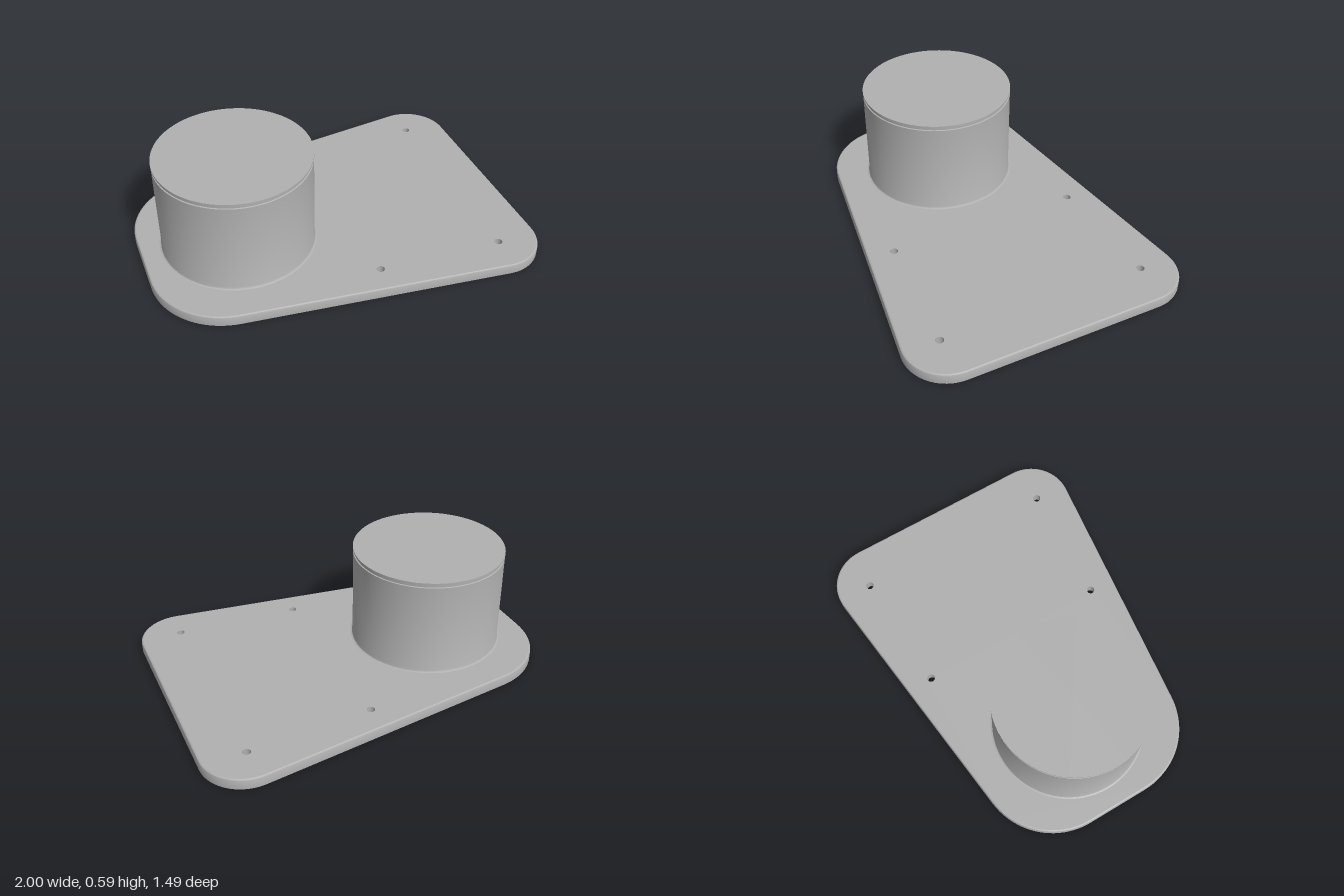
import * as THREE from 'three';
import { toCreasedNormals } from 'three/addons/utils/BufferGeometryUtils.js';

const THICK = 0.055, HOLE_R = 0.021;
const HOLES = [[0.11, 0.519], [0.11, -0.519], [0.775, 0.557], [0.775, -0.557]];

// Tapered outline with four rounded corners, shrunk by an inset
function outline(inset) {
  const t = 97.2;
  const corners = [
    [0.775, 0.52, 0.225, 0, t], [-0.6, 0.17, 0.4, t, 180],
    [-0.6, -0.17, 0.4, 180, 360 - t], [0.775, -0.52, 0.225, 360 - t, 360],
  ];
  const pts = [];
  for (const [cx, cy, r, a0, a1] of corners) {
    for (let i = 0; i <= 20; i++) {
      const a = THREE.MathUtils.degToRad(a0 + (a1 - a0) * i / 20);
      pts.push(new THREE.Vector2(cx + (r - inset) * Math.cos(a), cy + (r - inset) * Math.sin(a)));
    }
  }
  return pts;
}

// Flat face of the plate with the screw holes cut out
function plateFace(inset) {
  const shape = new THREE.Shape(outline(inset));
  for (const [x, y] of HOLES) {
    shape.holes.push(new THREE.Path().absarc(x, y, HOLE_R, 0, Math.PI * 2, true));
  }
  return new THREE.ShapeGeometry(shape, 16);
}

// Rim of the plate: stacked outlines with a rounded top edge
function plateRim(profile) {
  const pos = [], index = [];
  const n = outline(0).length;
  profile.forEach(([inset, y]) => outline(inset).forEach(p => pos.push(p.x, y, -p.y)));
  for (let k = 0; k < profile.length - 1; k++) {
    for (let i = 0; i < n; i++) {
      const a = k * n + i, b = k * n + (i + 1) % n;
      index.push(a, b, b + n, a, b + n, a + n);
    }
  }
  const geo = new THREE.BufferGeometry();
  geo.setAttribute('position', new THREE.Float32BufferAttribute(pos, 3));
  geo.setIndex(index);
  return toCreasedNormals(geo, 0.6);
}

export function createModel() {
  const model = new THREE.Group();
  model.name = 'mountingPlateWithDrum';
  const grey = new THREE.MeshStandardMaterial({ color: 0xb0b0b0 });
  grey.name = 'grey';

  const add = (parent, name, geo) => {
    const mesh = new THREE.Mesh(geo, grey);
    mesh.name = name;
    parent.add(mesh);
    return mesh;
  };

  // Base plate
  const plate = new THREE.Group();
  plate.name = 'basePlate';
  model.add(plate);
  add(plate, 'plateRim', plateRim([[0, 0], [0, THICK - 0.009], [0.003, THICK - 0.003], [0.009, THICK]]));
  add(plate, 'plateTop', plateFace(0.009).rotateX(-Math.PI / 2).translate(0, THICK, 0));
  add(plate, 'plateBottom', plateFace(0).rotateX(Math.PI / 2));

  // Screw hole walls, facing inward
  for (const [x, z] of HOLES) {
    const wall = new THREE.LatheGeometry(
      [new THREE.Vector2(HOLE_R, THICK), new THREE.Vector2(HOLE_R, 0)], 32);
    add(plate, 'screwHole', wall).position.set(x, 0, z);
  }

  // Drum with a base fillet, a groove and a lid
  const profile = [
    [0.417, THICK], [0.409, THICK + 0.003], [0.405, THICK + 0.011],
    [0.405, 0.565], [0.399, 0.567], [0.399, 0.58],
    [0.406, 0.582], [0.406, 0.593], [0, 0.593],
  ].map(([r, y]) => new THREE.Vector2(r, y));
  const drum = add(model, 'drum', toCreasedNormals(new THREE.LatheGeometry(profile, 96), 0.6));
  drum.position.x = -0.483;

  return model;
}
